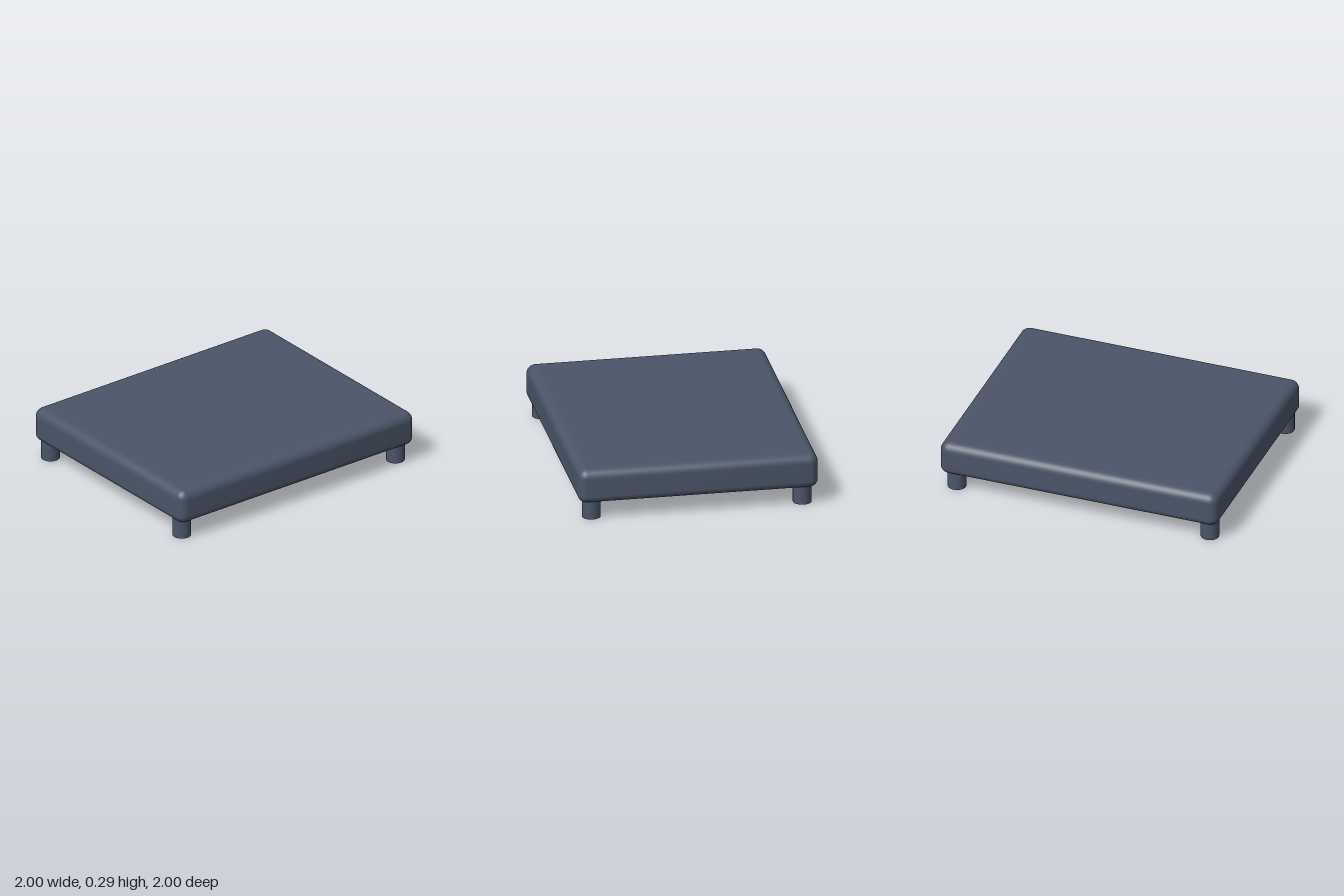
import * as THREE from 'three';

// Half extents of the lid measured to the centres of its rounded corners
const HX = 0.742, HZ = 0.601, R = 0.05;
const BOTTOM = 0.1, TOP = 0.29, CEILING = 0.17;

const slate = new THREE.MeshStandardMaterial({ color: 0x4a5568, side: THREE.DoubleSide });
slate.name = 'slate';

function part(name, geometry, x = 0, y = 0, z = 0) {
  const mesh = new THREE.Mesh(geometry, slate);
  mesh.name = name;
  mesh.position.set(x, y, z);
  return mesh;
}

function rectangle(PathType, cx, cy, hx, hy) {
  return new PathType([[-1, -1], [1, -1], [1, 1], [-1, 1]]
    .map(([sx, sy]) => new THREE.Vector2(cx + sx * hx, cy + sy * hy)));
}

// Extrude a plan shape upwards from height y
function slab(name, shape, y, height) {
  const g = new THREE.ExtrudeGeometry(shape, { depth: height, bevelEnabled: false });
  g.rotateX(-Math.PI / 2);
  return part(name, g, 0, y, 0);
}

// Rounded skin: a lathed edge profile pulled apart into four corners
function roundedSkin() {
  const points = [], b = 0.04, n = 8;
  for (let i = 0; i <= n; i++) {
    const a = (i / n) * Math.PI / 2;
    points.push(new THREE.Vector2(R - b + b * Math.sin(a), BOTTOM + b - b * Math.cos(a)));
  }
  for (let i = 0; i <= n; i++) {
    const a = (i / n) * Math.PI / 2;
    points.push(new THREE.Vector2(Math.max(0.001, R * Math.cos(a)), TOP - R + R * Math.sin(a)));
  }
  const segments = 48;
  const g = new THREE.LatheGeometry(points, segments, Math.PI / segments);
  const p = g.attributes.position;
  for (let i = 0; i < p.count; i++) {
    p.setX(i, p.getX(i) + Math.sign(p.getX(i)) * HX);
    p.setZ(i, p.getZ(i) + Math.sign(p.getZ(i)) * HZ);
  }
  return part('lidSkin', g);
}

// Hollow round post with a screw hole in its lower end
function post(name, x, z, bottom, radius, hole) {
  const group = new THREE.Group();
  group.name = name;
  const height = 0.2 - bottom, depth = 0.05;
  group.add(part('postWall', new THREE.CylinderGeometry(radius, radius, height, 32, 1, true), 0, bottom + height / 2, 0));
  group.add(part('postEnd', new THREE.RingGeometry(hole, radius, 32).rotateX(Math.PI / 2), 0, bottom, 0));
  group.add(part('screwHole', new THREE.CylinderGeometry(hole, hole, depth, 16, 1, true), 0, bottom + depth / 2, 0));
  group.add(part('holeFloor', new THREE.CircleGeometry(hole, 16).rotateX(Math.PI / 2), 0, bottom + depth, 0));
  group.position.set(x, 0, z);
  return group;
}

export function createModel() {
  const model = new THREE.Group();
  model.name = 'enclosureLid';
  const lid = new THREE.Group();
  lid.name = 'lid';
  lid.rotation.y = Math.PI / 4;
  model.add(lid);

  // Outer skin and flat top
  lid.add(roundedSkin());
  lid.add(part('topPanel', new THREE.PlaneGeometry(2 * HX + 0.002, 2 * HZ + 0.002).rotateX(-Math.PI / 2), 0, TOP, 0));

  // Rim with the inner walls
  const rim = rectangle(THREE.Shape, 0, 0, HX + 0.01, HZ + 0.01);
  rim.holes.push(rectangle(THREE.Path, 0, 0, HX, HZ));
  lid.add(slab('rim', rim, BOTTOM, CEILING - BOTTOM));

  // Ceiling with two pairs of shallow mounting slots
  const ceiling = rectangle(THREE.Shape, 0, 0, HX + 0.01, HZ + 0.01);
  for (const z of [-0.295, 0.295])
    for (const x of [-0.045, 0.015])
      ceiling.holes.push(rectangle(THREE.Path, x, z, 0.022, 0.06));
  lid.add(slab('ceiling', ceiling, CEILING, 0.04));
  lid.add(part('slotBacking', new THREE.BoxGeometry(0.2, 0.02, 0.8), 0, 0.22, 0));

  // Corner posts, each with a shorter boss towards the middle
  for (const [x, sx] of [[0.714, 1], [-0.728, -1]])
    for (const sz of [-1, 1]) {
      const z = 0.573 * sz;
      lid.add(post('cornerPost', x, z, 0, 0.05, 0.014));
      lid.add(post('shortBoss', x - sx * 0.034, z - sz * 0.034, 0.086, 0.046, 0.014));
    }

  return model;
}
